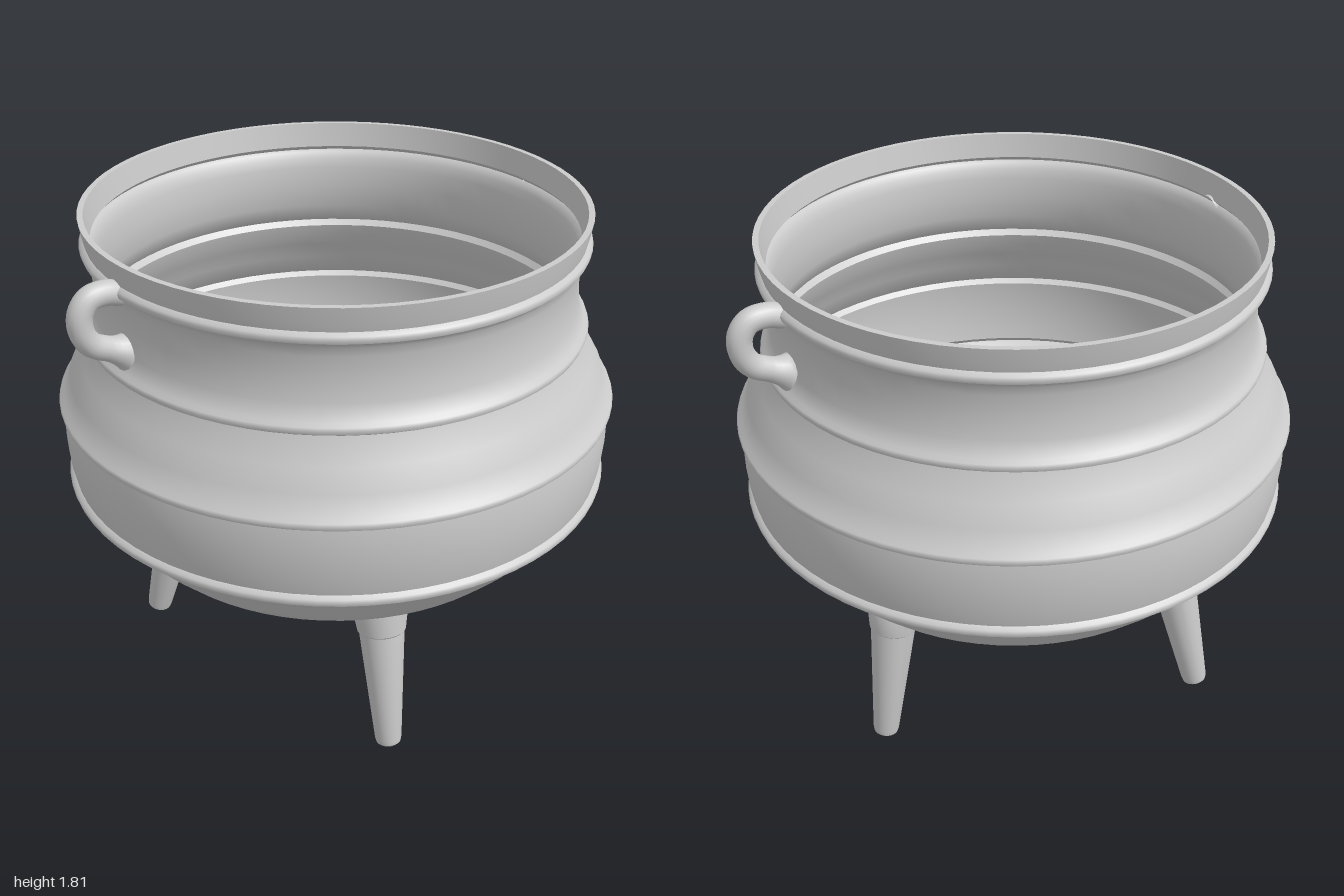
import * as THREE from 'three';
import { toCreasedNormals } from 'three/addons/utils/BufferGeometryUtils.js';

const material = new THREE.MeshStandardMaterial({ color: 0xcccccc });
const V = (x, y, z) => new THREE.Vector3(x, y, z);

function addMesh(parent, name, geometry) {
  const mesh = new THREE.Mesh(geometry, material);
  mesh.name = name;
  parent.add(mesh);
  return mesh;
}

// Small rounded rib on the outline, from its lower to its upper edge
function rib(r, y) {
  return [[r - 0.018, y - 0.022], [r - 0.004, y - 0.013], [r, y], [r - 0.004, y + 0.01], [r - 0.018, y + 0.019]];
}

// Thin-walled pot: outer outline from bottom to rim, then the same outline offset inward
function potGeometry() {
  const outer = [
    [0, 0.465], [0.1, 0.467], [0.2, 0.472], [0.31, 0.483], [0.4, 0.499], [0.49, 0.523], [0.6, 0.565],
    [0.68, 0.611], [0.745, 0.658], [0.81, 0.724], [0.87, 0.797], [0.91, 0.84],
    ...rib(0.95, 0.88),
    [0.942, 0.95], [0.948, 1.03], [0.947, 1.1],
    ...rib(0.96, 1.163),
    [0.917, 1.25], [0.877, 1.32], [0.85, 1.37],
    ...rib(0.855, 1.427),
    [0.817, 1.5], [0.81, 1.58], [0.813, 1.65], [0.82, 1.68],
    ...rib(0.845, 1.715),
    [0.833, 1.76], [0.842, 1.815],
  ].map(([r, y]) => new THREE.Vector2(r, y));
  const wall = 0.02;
  const inner = outer.map((p, i) => {
    const a = outer[Math.max(i - 1, 0)], b = outer[Math.min(i + 1, outer.length - 1)];
    const t = b.clone().sub(a).normalize();
    return new THREE.Vector2(Math.max(p.x - t.y * wall, 0), p.y + t.x * wall);
  });
  inner[0].x = 0;
  inner[inner.length - 1].y = 1.815;
  return toCreasedNormals(new THREE.LatheGeometry([...outer, ...inner.reverse()], 72), 0.7);
}

// Tapered leg with a collar; its top is trimmed to follow the bowl
function legGeometry(foot, top) {
  const axis = top.clone().sub(foot);
  const h = axis.length();
  const profile = [
    [0, 0], [0.034, 0], [0.043, 0.008], [0.047, 0.025], [0.079, h - 0.13], [0.084, h - 0.125],
    [0.097, h - 0.03], [0.098, h + 0.02], [0, h + 0.02],
  ].map(([r, y]) => new THREE.Vector2(r, y));
  const geometry = new THREE.LatheGeometry(profile, 28);
  geometry.applyQuaternion(new THREE.Quaternion().setFromUnitVectors(V(0, 1, 0), axis.normalize()));
  geometry.translate(foot.x, foot.y, foot.z);
  const p = geometry.attributes.position;
  for (let i = 0; i < p.count; i++) {
    const r = Math.hypot(p.getX(i), p.getZ(i));
    const bowl = 0.475 + 0.415 * (1 - Math.sqrt(Math.max(0, 1 - (r / 0.95) ** 2)));
    p.setY(i, Math.min(p.getY(i), bowl));
  }
  return toCreasedNormals(geometry, 0.6);
}

// Ear-shaped handle: a tube that flares where its lower end meets the neck
function handleGeometry() {
  const path = new THREE.CatmullRomCurve3([
    V(0.815, 1.7, 0), V(0.87, 1.715, 0), V(0.925, 1.708, 0), V(0.957, 1.668, 0),
    V(0.958, 1.61, 0), V(0.93, 1.56, 0), V(0.875, 1.53, 0), V(0.815, 1.505, 0),
  ]);
  const steps = 40, sides = 16;
  const geometry = new THREE.TubeGeometry(path, steps, 0.04, sides);
  const p = geometry.attributes.position;
  const v = V(0, 0, 0);
  for (let i = 0; i < p.count; i++) {
    const t = Math.floor(i / (sides + 1)) / steps;
    const c = path.getPointAt(t);
    const flare = 1 + 0.6 * Math.max(0, (t - 0.82) / 0.18) ** 2;
    v.fromBufferAttribute(p, i).sub(c).multiplyScalar(flare).add(c);
    // Keep the flared end inside the wall from showing in the pot
    p.setXYZ(i, Math.max(v.x, 0.805), v.y, v.z);
  }
  geometry.computeVertexNormals();
  return toCreasedNormals(geometry, 0.8);
}

export function createModel() {
  const model = new THREE.Group();
  model.name = 'threeLeggedPot';

  const pot = addMesh(model, 'pot', potGeometry());
  pot.position.x = -0.005;

  // Three splayed legs
  const legs = [
    ['frontLeg', V(-0.235, 0.038, 0.62), V(-0.2, 0.6, 0.51)],
    ['leftLeg', V(0.64, 0.008, -0.165), V(0.56, 0.6, -0.143)],
    ['backRightLeg', V(-0.482, 0.042, -0.552), V(-0.393, 0.6, -0.447)],
  ];
  for (const [name, foot, top] of legs) addMesh(model, name, legGeometry(foot, top));

  // Matching handles on both sides
  addMesh(model, 'leftHandle', handleGeometry());
  addMesh(model, 'rightHandle', handleGeometry()).rotation.y = Math.PI;
  return model;
}
